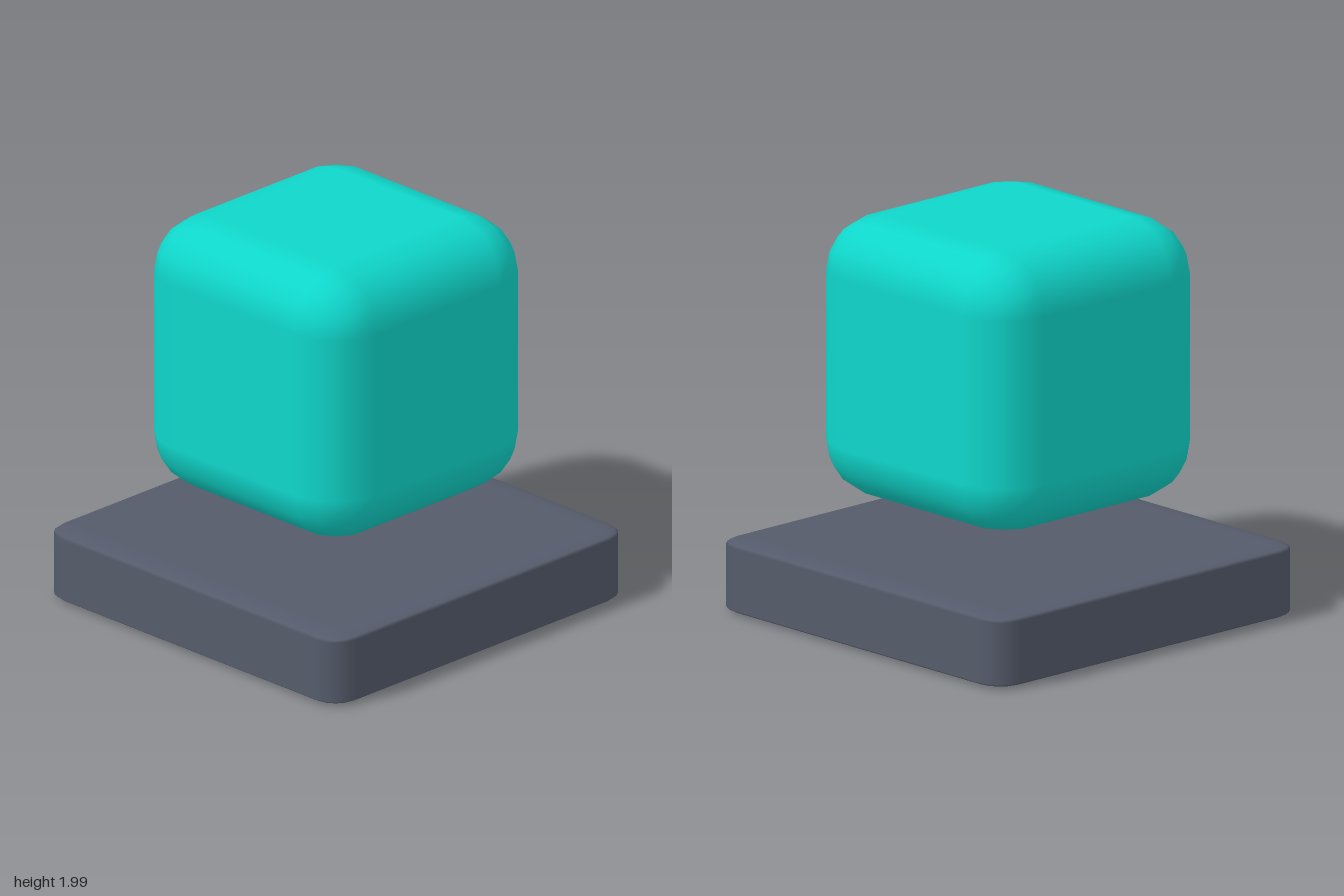
import * as THREE from 'three';
import { RoundedBoxGeometry } from 'three/addons/geometries/RoundedBoxGeometry.js';

// Unit rounded block stretched to size, so its bevel stretches with it
function block(name, material, size, bevel, y) {
  const geometry = new RoundedBoxGeometry(1, 1, 1, 2, bevel);
  geometry.scale(...size);
  const mesh = new THREE.Mesh(geometry, material);
  mesh.name = name;
  mesh.position.y = y;
  return mesh;
}

export function createModel() {
  const slate = new THREE.MeshStandardMaterial({ color: 0x555b6b });
  slate.name = 'slate';
  const turquoise = new THREE.MeshStandardMaterial({ color: 0x0fd6ca });
  turquoise.name = 'turquoise';

  const model = new THREE.Group();
  model.name = 'floatingCubeOnBase';

  // Flat base slab
  model.add(block('base', slate, [2, 0.36, 2], 0.07, 0.18));

  // Soft cube hovering above the base
  model.add(block('floatingCube', turquoise, [1.4, 1.4, 1.4], 0.2, 1.285));

  return model;
}
